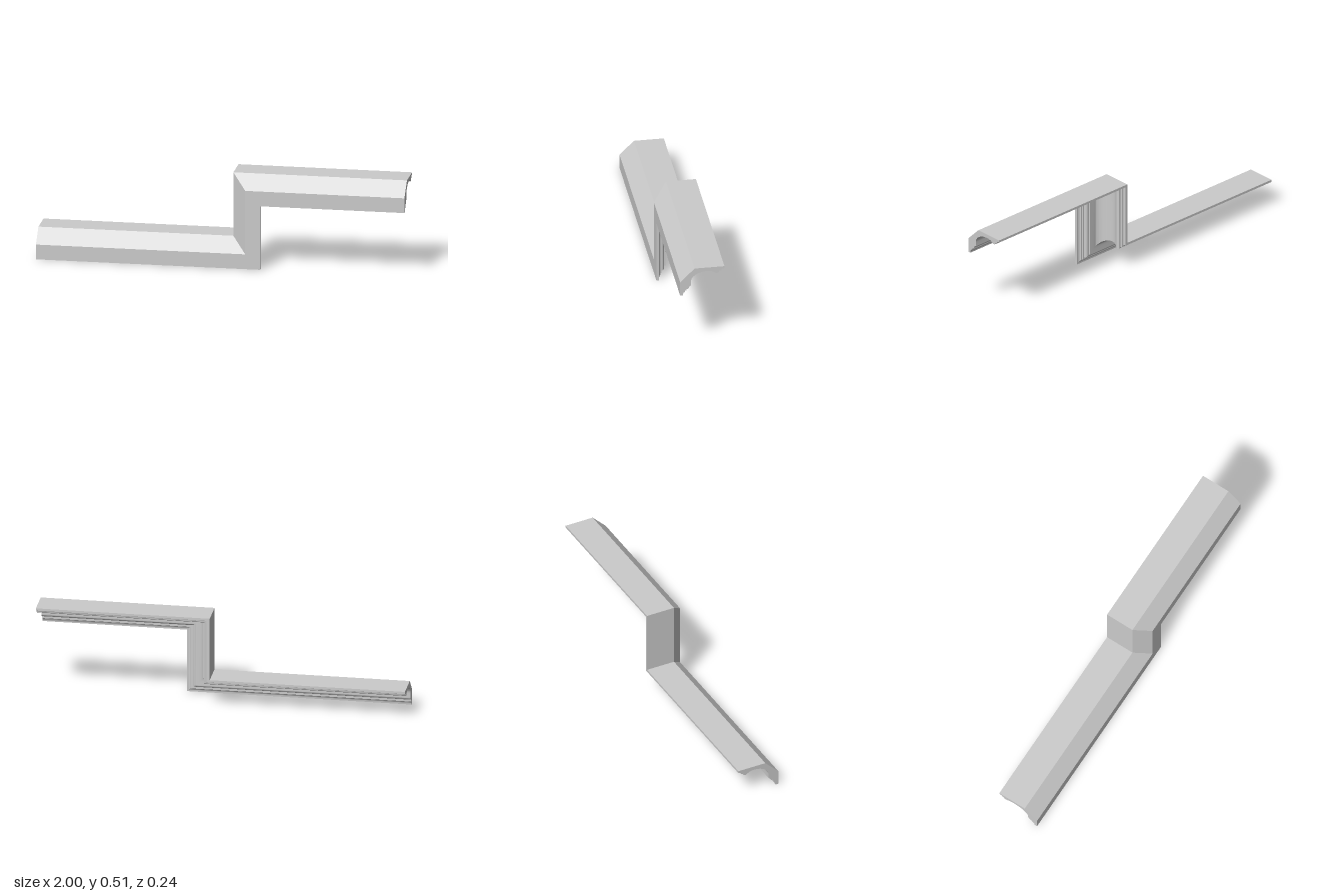
import * as THREE from 'three';
import { toCreasedNormals } from 'three/addons/utils/BufferGeometryUtils.js';

// Moulding cross-section: (z, d), where d is the depth below the outer face.
// Stored as (-z, -d) so that the sweep keeps its faces outward.
function mouldingProfile() {
  const s = new THREE.Shape();
  const line = (...pts) => pts.forEach(([z, d]) => s.lineTo(-z, -d));
  const quad = (cz, cd, z, d) => s.quadraticCurveTo(-cz, -cd, -z, -d);
  const cubic = (az, ad, bz, bd, z, d) => s.bezierCurveTo(-az, -ad, -bz, -bd, -z, -d);

  // flat outer face, chamfer and front lip
  s.moveTo(0.12, 0);
  line([0.042, 0], [0.12, 0.078], [0.12, 0.16], [0.105, 0.16], [0.105, 0.154]);
  // small beads and steps behind the front lip
  quad(0.103, 0.142, 0.094, 0.139);
  line([0.094, 0.132], [0.087, 0.132], [0.087, 0.123]);
  quad(0.071, 0.124, 0.07, 0.104);
  line([0.062, 0.104], [0.062, 0.08]);
  // large cove running into a small reverse curve
  cubic(0.062, 0.046, 0.02, 0.021, -0.025, 0.021);
  cubic(-0.048, 0.021, -0.06, 0.028, -0.066, 0.033);
  cubic(-0.073, 0.04, -0.09, 0.04, -0.091, 0.03);
  // back steps
  line([-0.091, 0.025], [-0.103, 0.025]);
  quad(-0.105, 0.014, -0.11, 0.013);
  line([-0.12, 0.013], [-0.12, 0]);
  return s;
}

export function createModel() {
  const group = new THREE.Group();
  group.name = 'steppedMoulding';

  // Outer edge path; dx, dy carry the depth direction at each end or mitre
  const stations = [
    { x: -1, y: 0.16, dx: 0, dy: -1 },
    { x: 0.058, y: 0.16, dx: 1, dy: -1 },
    { x: 0.058, y: 0.513, dx: 1, dy: -1 },
    { x: 1, y: 0.513, dx: 0, dy: -1 },
  ];

  // Straight extrusion in three steps, then folded onto the path
  const geo = new THREE.ExtrudeGeometry(mouldingProfile(), {
    depth: 3, steps: 3, bevelEnabled: false, curveSegments: 14,
  });
  const pos = geo.attributes.position;
  for (let i = 0; i < pos.count; i++) {
    const st = stations[Math.round(pos.getZ(i))];
    const d = -pos.getY(i);
    pos.setXYZ(i, st.x + st.dx * d, st.y + st.dy * d, -pos.getX(i));
  }

  const mesh = new THREE.Mesh(
    toCreasedNormals(geo, 0.5),
    new THREE.MeshStandardMaterial({ color: 0xcccccc })
  );
  mesh.name = 'moulding';
  group.add(mesh);
  return group;
}
